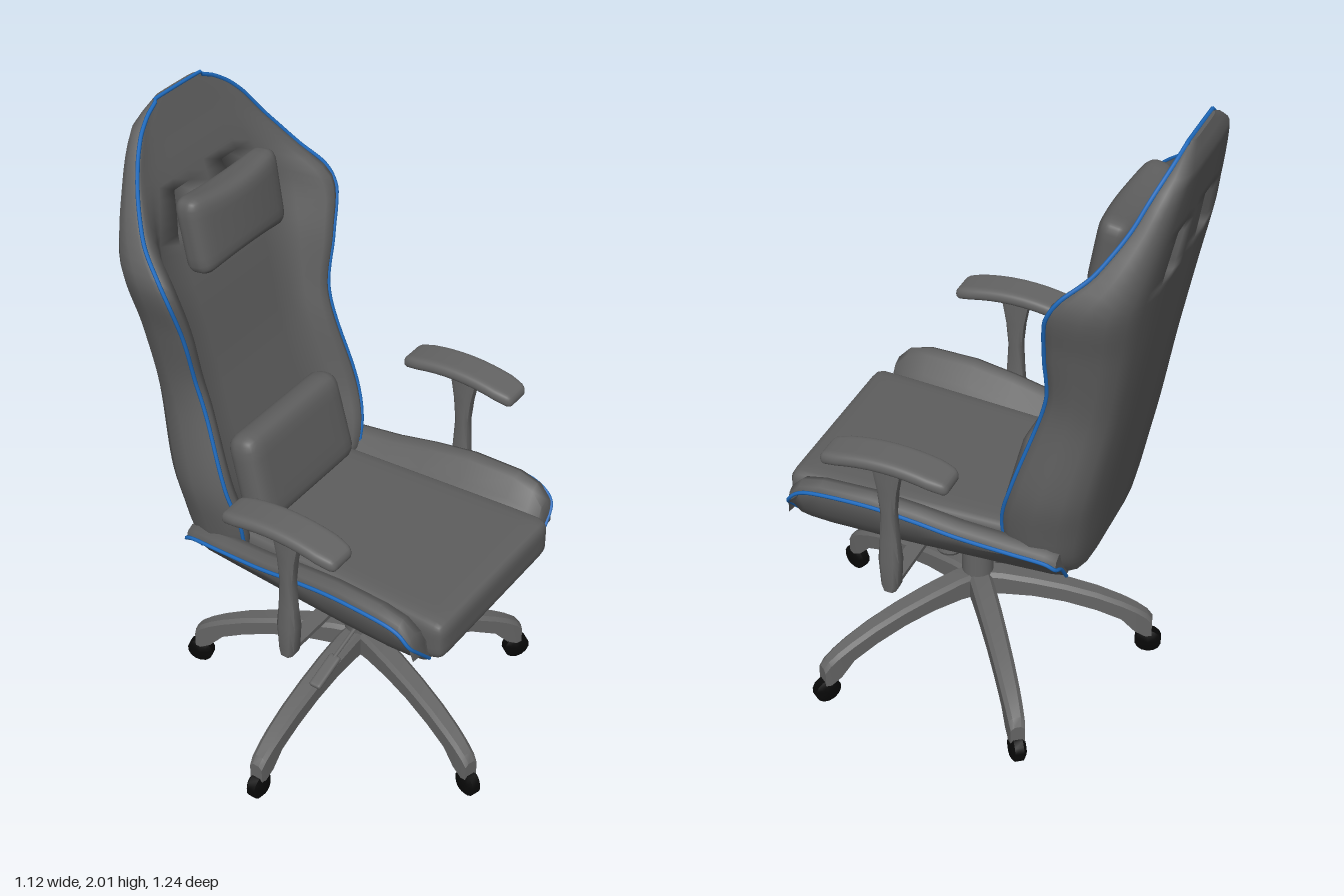
import * as THREE from 'three';
import { mergeVertices, toCreasedNormals } from 'three/addons/utils/BufferGeometryUtils.js';

const mat = (name, color) => {
  const m = new THREE.MeshStandardMaterial({ color });
  m.name = name;
  return m;
};

// Skin over closed sections; optional tunnels pass from one side of the loop to the other
function loft(sections, { crease = 0, tunnels = [] } = {}) {
  const n = sections[0].length, pos = sections.flat(2), idx = [], skip = new Set();
  const id = (i, j) => i * n + ((j % n) + n) % n;
  const quad = (a, b, c, d) => idx.push(a, b, c, a, c, d);
  const half = n / 2;
  for (const { r0, r1, j } of tunnels) {
    for (let r = r0; r < r1; r++) skip.add(id(r, j)).add(id(r, half - 1 - j));
    const rim = [];
    for (let r = r0; r <= r1; r++) rim.push([r, j + 1]);
    for (let r = r1; r >= r0; r--) rim.push([r, j]);
    rim.forEach(([r, c], k) => {
      const [r2, c2] = rim[(k + 1) % rim.length];
      quad(id(r, c), id(r2, c2), id(r2, half - c2), id(r, half - c));
    });
  }
  for (let i = 0; i < sections.length - 1; i++)
    for (let j = 0; j < n; j++)
      if (!skip.has(id(i, j))) quad(id(i, j), id(i, j + 1), id(i + 1, j + 1), id(i + 1, j));
  // end caps
  for (const i of [0, sections.length - 1]) {
    const c = [0, 1, 2].map(k => sections[i].reduce((s, p) => s + p[k], 0) / n);
    const base = pos.length / 3;
    pos.push(...sections[i].flat(), ...c);
    for (let j = 0; j < n; j++) {
      const a = base + j, b = base + (j + 1) % n;
      i === 0 ? idx.push(b, a, base + n) : idx.push(a, b, base + n);
    }
  }
  // turn the skin outwards if its volume is negative
  let vol = 0;
  const v = k => new THREE.Vector3().fromArray(pos, idx[k] * 3);
  for (let k = 0; k < idx.length; k += 3) vol += v(k).dot(v(k + 1).cross(v(k + 2)));
  if (vol < 0) idx.reverse();
  const g = new THREE.BufferGeometry();
  g.setAttribute('position', new THREE.Float32BufferAttribute(pos, 3));
  g.setIndex(idx);
  g.computeVertexNormals();
  return crease ? toCreasedNormals(g, crease) : g;
}

// Rounded box with enough segments to be bent by a rule
function softBox(w, h, d, r, rule = () => {}) {
  const g = new THREE.BoxGeometry(2, 2, 2, 16, 12, 16);
  g.deleteAttribute('normal');
  g.deleteAttribute('uv');
  const out = mergeVertices(g), p = out.attributes.position, v = new THREE.Vector3();
  const size = new THREE.Vector3(w / 2, h / 2, d / 2);
  const inner = size.clone().subScalar(r);
  for (let i = 0; i < p.count; i++) {
    v.fromBufferAttribute(p, i);
    for (const a of ['x', 'y', 'z']) v[a] = Math.sin(v[a] * Math.PI / 2) * size[a];
    const core = v.clone().clamp(inner.clone().negate(), inner);
    v.sub(core).setLength(r).add(core);
    rule(v);
    p.setXYZ(i, v.x, v.y, v.z);
  }
  out.computeVertexNormals();
  return out;
}

// Smooth lookup in a table whose first column is the key
function sample(rows, y) {
  let i = 0;
  while (i < rows.length - 2 && y > rows[i + 1][0]) i++;
  const a = rows[i], b = rows[i + 1], p = rows[i - 1] ?? a, q = rows[i + 2] ?? b;
  const d = b[0] - a[0], t = (y - a[0]) / d;
  return a.slice(1).map((va, k) => {
    const c = k + 1, vb = b[c];
    const ma = (vb - p[c]) / (b[0] - p[0]) * d, mb = (q[c] - va) / (q[0] - a[0]) * d;
    return va * (1 + 2 * t) * (1 - t) ** 2 + ma * t * (1 - t) ** 2 + vb * t * t * (3 - 2 * t) + mb * t * t * (t - 1);
  });
}

const tube = (pts, r, seg = 80, smooth = true) => new THREE.TubeGeometry(
  new THREE.CatmullRomCurve3(pts.map(p => new THREE.Vector3(...p)), false, 'catmullrom', smooth ? 0.5 : 0.05), seg, r, 6);

export function createModel() {
  const upholstery = mat('grey upholstery', 0x5e5e5e), frame = mat('grey frame', 0x646464);
  const black = mat('black caster', 0x080808), blue = mat('blue piping', 0x1f6cc0);
  const model = new THREE.Group();
  model.name = 'officeChair';
  const add = (name, geo, m, x = 0, y = 0, z = 0, parent = model) => {
    const mesh = new THREE.Mesh(geo, m);
    mesh.name = name;
    mesh.position.set(x, y, z);
    parent.add(mesh);
    return mesh;
  };
  const cx = 0.03;

  // Backrest: height, half width, wing front z, panel z, piping inset
  const back = [
    [0.62, 0.27, -0.24, -0.25, 0.04], [0.68, 0.325, -0.18, -0.24, 0.04], [0.8, 0.355, -0.165, -0.245, 0.04],
    [0.94, 0.372, -0.2, -0.275, 0.035], [1.18, 0.347, -0.275, -0.345, 0.028], [1.28, 0.35, -0.3, -0.37, 0.025],
    [1.45, 0.376, -0.305, -0.41, 0.012], [1.61, 0.405, -0.335, -0.455, 0.005], [1.7, 0.365, -0.425, -0.475, 0.005],
    [1.81, 0.295, -0.5, -0.51, 0.005], [1.9, 0.235, -0.54, -0.545, 0.005], [1.96, 0.17, -0.567, -0.567, 0.005],
    [2.0, 0.09, -0.582, -0.582, 0.005]];
  const levels = Array.from({ length: 45 }, (_, i) => 0.62 + 0.03 * i).concat([1.97, 1.985, 1.995, 2.0]);
  const ridge = [];
  const sections = levels.map(y => {
    const [w, zw, zi, off] = sample(back, y);
    const zb = -0.385 - 0.175 * (y - 0.62) + Math.max(0, y - 1.94) * 0.5;
    const t = zw - zb;
    const h = [[0, zb], [0.22 * w, zb], [0.44 * w, zb], [0.7 * w, zb + 0.03 * t], [0.86 * w, zb + 0.12 * t],
      [0.96 * w, zb + 0.32 * t], [w, zb + 0.6 * t], [w - off * 0.4, zb + 0.88 * t], [w - off, zw],
      [0.95 * (w - off), zw + 0.03 * t], [0.88 * (w - off), zw - 0.02 * t], [0.75 * w, zi + (zw - zi) * 0.35],
      [0.64 * w, zi], [0.44 * w, zi], [0.22 * w, zi], [0, zi]];
    ridge.push([w - off + 0.002, y, zw + 0.001]);
    return [...h, ...h.slice(1, -1).reverse().map(([x, z]) => [-x, z])].map(([x, z]) => [x, y, z]);
  });
  const loop = sections[0].length;
  add('backrest', loft(sections, { tunnels: [{ r0: 33, r1: 38, j: 1 }, { r0: 33, r1: 38, j: loop - 2 }] }), upholstery, cx);
  const side = ridge.filter((p, i) => p[1] > 0.7 && (i % 2 === 0 || p[1] > 1.9));
  add('backrestPiping', tube([...side, ...side.slice().reverse().map(([x, y, z]) => [-x, y, z])], 0.006, 220), blue, cx);

  // Pillows
  const head = add('headPillow', softBox(0.4, 0.25, 0.12, 0.045, v => {
    const u = v.x / 0.2;
    v.y *= 0.86 + 0.14 * u * u;
    v.x *= 1 + v.y * 0.12;
    v.z *= 1 - 0.3 * u * u;
  }), upholstery, cx, 1.655, -0.405);
  head.rotation.x = -0.17;
  const lumbar = add('lumbarPillow', softBox(0.475, 0.31, 0.11, 0.05, v => { v.x *= 1 - v.y * 0.1; }), upholstery, cx, 0.89, -0.205);
  lumbar.rotation.x = -0.24;

  // Seat cushion, narrower at the rear
  add('seatCushion', softBox(0.615, 0.142, 0.89, 0.04, v => {
    v.x *= 0.93 + 0.16 * v.z;
    if (v.y > 0) v.y -= 0.02 * Math.max(0, 0.3 - v.z);
  }), upholstery, cx, 0.684, 0.095);

  // Seat bolsters: z, top height, outer half width, inner half width
  const bolster = [
    [0.496, 0.71, 0.385, 0.31], [0.488, 0.76, 0.395, 0.31], [0.45, 0.8, 0.402, 0.31], [0.38, 0.818, 0.405, 0.307],
    [0.22, 0.82, 0.4, 0.3], [0.08, 0.803, 0.392, 0.29], [-0.05, 0.78, 0.383, 0.275], [-0.2, 0.765, 0.373, 0.26],
    [-0.31, 0.755, 0.365, 0.25], [-0.345, 0.735, 0.355, 0.25]];
  for (const s of [1, -1]) {
    const tag = s > 0 ? 'left' : 'right';
    add(tag + 'SeatBolster', loft(bolster.map(([z, t, o, i]) => [
      [i - 0.03, 0.613], [o - 0.09, 0.613], [o - 0.07, 0.63], [o - 0.03, 0.69], [o, t - 0.04], [o - 0.008, t - 0.012],
      [o - 0.03, t], [o - 0.06, t - 0.012], [i + 0.005, t - 0.065], [i - 0.03, t - 0.09]].map(([x, y]) => [s * x, y, z]),
    ), { crease: 0.9 }), upholstery, cx);
    const line = [[0.3, 0.62, 0.497], [0.355, 0.68, 0.497], ...bolster.slice(1).map(([z, t, o]) => [o + 0.001, t - 0.032, z]),
      [0.32, 0.68, -0.35], [0.275, 0.62, -0.35]];
    add(tag + 'SeatPiping', tube(line.map(([x, y, z]) => [s * x, y, z]), 0.006, 100), blue, cx);

    // Armrest post and curved pad
    const post = [[0.57, 0.02], [0.585, 0.026], [0.68, 0.032], [0.75, 0.027], [0.85, 0.022], [0.93, 0.03], [1.0, 0.043], [1.04, 0.045]];
    add(tag + 'ArmPost', loft(post.map(([y, h]) => {
      const w = y < 0.7 ? 0.027 : 0.021;
      return [[w, h * 0.6], [w * 0.6, h], [-w * 0.6, h], [-w, h * 0.6], [-w, -h * 0.6], [-w * 0.6, -h], [w * 0.6, -h], [w, -h * 0.6]]
        .map(([x, z]) => [x, y, z]);
    }), { crease: 0.9 }), frame, cx + s * 0.465, 0, 0.12);
    add(tag + 'ArmPad', softBox(0.118, 0.042, 0.395, 0.02, v => {
      v.y -= 0.8 * v.z * v.z;
      if (Math.abs(v.z) > 0.14) v.x *= 1 - 6 * (Math.abs(v.z) - 0.14) ** 1.2;
    }), frame, cx + s * 0.465, 1.042, 0.115);
  }
  add('armCrossbar', new THREE.BoxGeometry(0.93, 0.014, 0.05), frame, cx, 0.595, 0.12);

  // Tilt mechanism
  add('mountPlate', new THREE.BoxGeometry(0.32, 0.025, 0.24), frame, cx, 0.602, 0.075);
  add('mechanismBox', new THREE.BoxGeometry(0.21, 0.03, 0.15), frame, cx, 0.575, 0.06);
  const lathe = (pts, seg) => toCreasedNormals(new THREE.LatheGeometry(pts.map(p => new THREE.Vector2(...p)), seg), 0.6);
  add('gasLift', lathe([[0, 0.22], [0.05, 0.22], [0.05, 0.43], [0.03, 0.432], [0.03, 0.49], [0.05, 0.495], [0.06, 0.53],
    [0.085, 0.55], [0.085, 0.575], [0, 0.575]], 24), frame, 0.025, 0, 0.055);
  const knob = add('tensionKnob', lathe([[0, -0.04], [0.036, -0.04], [0.042, -0.03], [0.038, 0.01], [0.025, 0.015], [0.025, 0.05], [0, 0.05]], 16),
    frame, 0.175, 0.522, 0.08);
  knob.rotation.z = 0.1;
  add('leverRod', tube([[0.03, 0.565, 0.12], [-0.1, 0.565, 0.175], [-0.1, 0.52, 0.175], [-0.29, 0.46, 0.175]], 0.007, 60, false), frame);
  const paddle = add('leverPaddle', softBox(0.12, 0.018, 0.04, 0.008), frame, -0.335, 0.44, 0.175);
  paddle.rotation.z = 0.33;

  // Five-armed base: radius, top, underside, half width
  const leg = [[0, 0.3, 0.215, 0.036], [0.08, 0.299, 0.225, 0.036], [0.18, 0.285, 0.222, 0.035], [0.28, 0.265, 0.205, 0.033],
    [0.38, 0.237, 0.175, 0.031], [0.46, 0.205, 0.14, 0.029], [0.505, 0.182, 0.09, 0.027], [0.54, 0.158, 0.07, 0.025], [0.558, 0.135, 0.07, 0.022]];
  const legGeo = loft(leg.map(([r, t, b, w]) => [[r, b, -w], [r, t - 0.012, -w], [r, t, -w + 0.012], [r, t, w - 0.012], [r, t - 0.012, w], [r, b, w]]), { crease: 0.6 });
  const wheelGeo = lathe([[0, -0.024], [0.028, -0.024], [0.043, -0.014], [0.043, 0.014], [0.028, 0.024], [0, 0.024]], 14);
  wheelGeo.rotateX(Math.PI / 2);
  for (let i = 0; i < 5; i++) {
    const arm = new THREE.Group();
    arm.name = 'baseArm' + (i + 1);
    arm.position.set(0.025, 0, 0.055);
    arm.rotation.y = Math.PI + i * Math.PI * 0.4;
    add('leg', legGeo, frame, 0, 0, 0, arm);
    add('caster', wheelGeo, black, 0.547, 0.043, 0, arm);
    model.add(arm);
  }
  return model;
}
